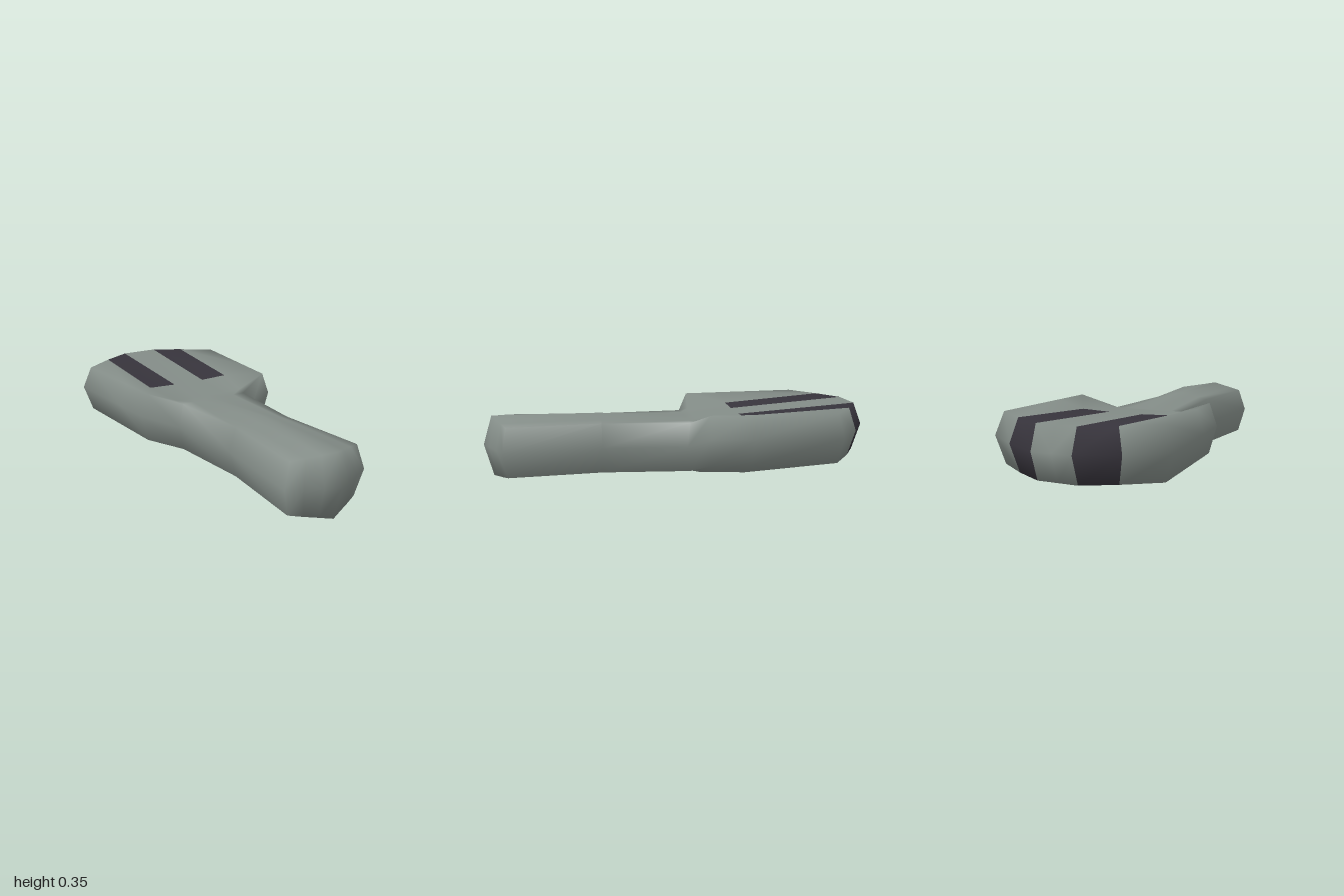
import * as THREE from 'three';
import { mergeVertices } from 'three/addons/utils/BufferGeometryUtils.js';

// Cross-sections from the front tip to the back rim, right half only, four columns each:
// xt/xb = column x on top and bottom, z = column z, top/bot = column heights,
// side = the widest point [x, y, z]
const noseSide = [0.225, 0.17, 0.89];
const rimSide = [0.455, 0.24, -0.77];
const noseX = [0, 0.07, 0.15, 0.225], rimX = [0, 0.1, 0.28, 0.455];
const flat = (y) => [y, y, y, y];
const stations = [
  { xt: noseX, z: [1, 0.966, 0.927, 0.89], top: flat(0.17), bot: flat(0.17), side: noseSide },
  { xt: [0, 0.06, 0.125, 0.19], z: [0.955, 0.928, 0.9, 0.87], top: [0.32, 0.31, 0.3, 0.29], bot: [0.005, 0.014, 0.024, 0.035], side: noseSide },
  { xt: [0, 0.05, 0.1, 0.15], z: flat(0.4), top: [0.32, 0.31, 0.3, 0.29], bot: [0.005, 0.014, 0.024, 0.035], side: [0.187, 0.17, 0.4] },
  { xt: [0, 0.06, 0.125, 0.19], z: flat(-0.05), top: flat(0.288), bot: [0.005, 0.014, 0.024, 0.035], side: [0.222, 0.17, -0.03] },
  { xt: [0, 0.09, 0.2, 0.365], z: [-0.1, -0.1, -0.1, -0.12], top: [0.293, 0.293, 0.296, 0.355], bot: [0.005, 0.014, 0.03, 0.1], side: [0.402, 0.24, -0.11] },
  { xt: [0, 0.09, 0.24, 0.38], z: [-0.33, -0.325, -0.325, -0.33], top: [0.31, 0.31, 0.315, 0.355], bot: [0.005, 0.013, 0.03, 0.102], side: [0.42, 0.24, -0.33] },
  { xt: [0, 0.1, 0.25, 0.41], z: [-0.955, -0.955, -0.87, -0.755], top: flat(0.355), bot: flat(0.105), side: rimSide },
  { xt: rimX, z: [-1, -1, -0.9, -0.77], top: flat(0.24), bot: flat(0.24), side: rimSide },
];
const STRIPE_START = 5;
const STRIPE_CELLS = [1, 4, 9, 12];
const RING = 16;

// Full mirrored ring: over the top from +x to -x, then back underneath
function ring({ xt, z, top, bot, side }) {
  const across = [3, 2, 1, 0, -1, -2, -3];
  const row = (order, h) => order.map((c) => {
    const k = Math.abs(c);
    return [Math.sign(c) * xt[k], h[k], z[k]];
  });
  return [
    ...row(across, top),
    [-side[0], side[1], side[2]],
    ...row([...across].reverse(), bot),
    side,
  ];
}

export function createModel() {
  const grey = new THREE.MeshStandardMaterial({ color: 0x838c87 });
  grey.name = 'grey';
  const charcoal = new THREE.MeshStandardMaterial({ color: 0x37343c });
  charcoal.name = 'charcoal';

  // Skin between neighbouring rings, with the diagonals mirrored left to right
  const bodyFaces = [], stripeFaces = [];
  for (let s = 0; s < stations.length - 1; s++) {
    for (let j = 0; j < RING; j++) {
      const n = (j + 1) % RING;
      const a = s * RING + j, b = s * RING + n;
      const d = a + RING, c = b + RING;
      const left = j >= 3 && j <= 10;
      const faces = left ? [a, d, b, b, d, c] : [a, d, c, a, c, b];
      const striped = s >= STRIPE_START && STRIPE_CELLS.includes(j);
      (striped ? stripeFaces : bodyFaces).push(...faces);
    }
  }

  // One welded smooth skin, so shading runs on across the stripe borders
  let skin = new THREE.BufferGeometry();
  skin.setAttribute('position', new THREE.Float32BufferAttribute(stations.flatMap(ring).flat(), 3));
  skin.setIndex([...bodyFaces, ...stripeFaces]);
  skin = mergeVertices(skin, 1e-4);
  skin.computeVertexNormals();
  const index = Array.from(skin.index.array);

  const group = new THREE.Group();
  group.name = 'paw';
  const addPart = (name, faces, material) => {
    const geometry = skin.clone();
    geometry.setIndex(faces);
    const mesh = new THREE.Mesh(geometry, material);
    mesh.name = name;
    group.add(mesh);
  };
  addPart('legAndFoot', index.slice(0, bodyFaces.length), grey);
  addPart('toeStripes', index.slice(bodyFaces.length), charcoal);
  return group;
}
